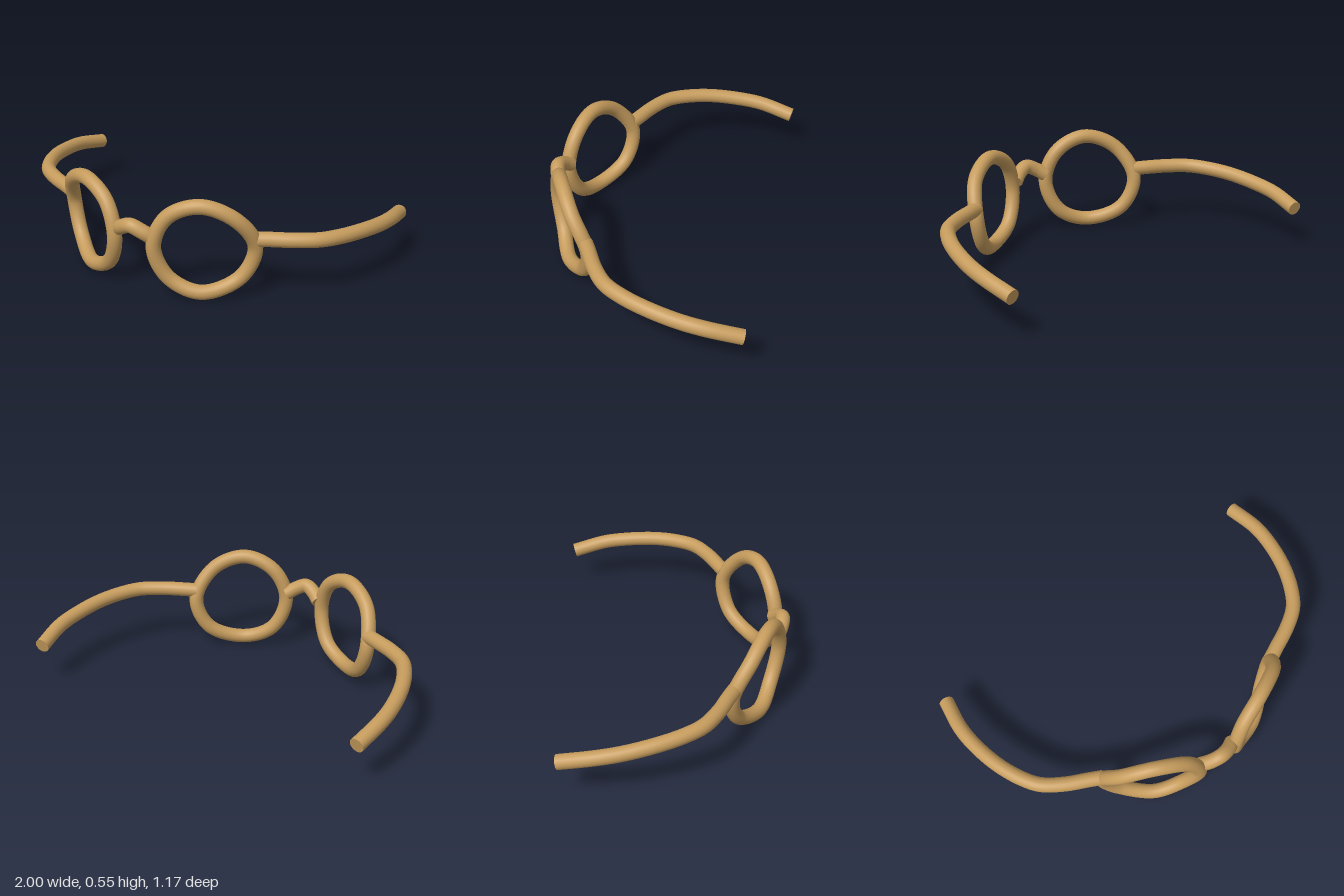
import * as THREE from 'three';

const RADIUS = 0.038;
const material = new THREE.MeshStandardMaterial({ color: 0xc69c5d });

// Smooth round wire through the points; open wires get flat end caps
function wire(name, points, closed = false) {
  const group = new THREE.Group();
  group.name = name;
  const curve = new THREE.CatmullRomCurve3(points.map(p => new THREE.Vector3(...p)), closed);
  const tube = new THREE.Mesh(new THREE.TubeGeometry(curve, closed ? 96 : 64, RADIUS, 20, closed), material);
  tube.name = name + 'Tube';
  group.add(tube);
  if (!closed) {
    for (const t of [0, 1]) {
      const cap = new THREE.Mesh(new THREE.CircleGeometry(RADIUS, 20), material);
      cap.name = name + 'Cap';
      const outward = curve.getTangentAt(t).multiplyScalar(t ? 1 : -1);
      cap.position.copy(curve.getPointAt(t));
      cap.quaternion.setFromUnitVectors(new THREE.Vector3(0, 0, 1), outward);
      group.add(cap);
    }
  }
  return group;
}

// Left-hand rim, bent back around the face
const RIM = [
  [0.537, 0.28, 0.26], [0.475, 0.447, 0.35], [0.325, 0.516, 0.435], [0.175, 0.447, 0.492],
  [0.113, 0.285, 0.518], [0.175, 0.112, 0.478], [0.325, 0.043, 0.415], [0.475, 0.112, 0.295],
];

// Left-hand temple, sweeping back and drooping to the ear
const TEMPLE = [
  [0.535, 0.326, 0.268], [0.6, 0.328, 0.236], [0.71, 0.328, 0.182], [0.81, 0.326, 0.11],
  [0.87, 0.32, 0.02], [0.922, 0.308, -0.11], [0.955, 0.286, -0.27], [0.961, 0.266, -0.4],
  [0.937, 0.225, -0.575],
];

// Arched nose bridge
const BRIDGE = [
  [-0.1, 0.325, 0.505], [-0.055, 0.357, 0.53], [0, 0.38, 0.543], [0.055, 0.357, 0.53], [0.1, 0.325, 0.505],
];

export function createModel() {
  const model = new THREE.Group();
  model.name = 'eyeglasses';
  for (const [side, s] of [['left', 1], ['right', -1]]) {
    const mirror = points => points.map(([x, y, z]) => [x * s, y, z]);
    model.add(wire(side + 'Rim', mirror(RIM), true));
    model.add(wire(side + 'Temple', mirror(TEMPLE)));
  }
  model.add(wire('bridge', BRIDGE));
  return model;
}
